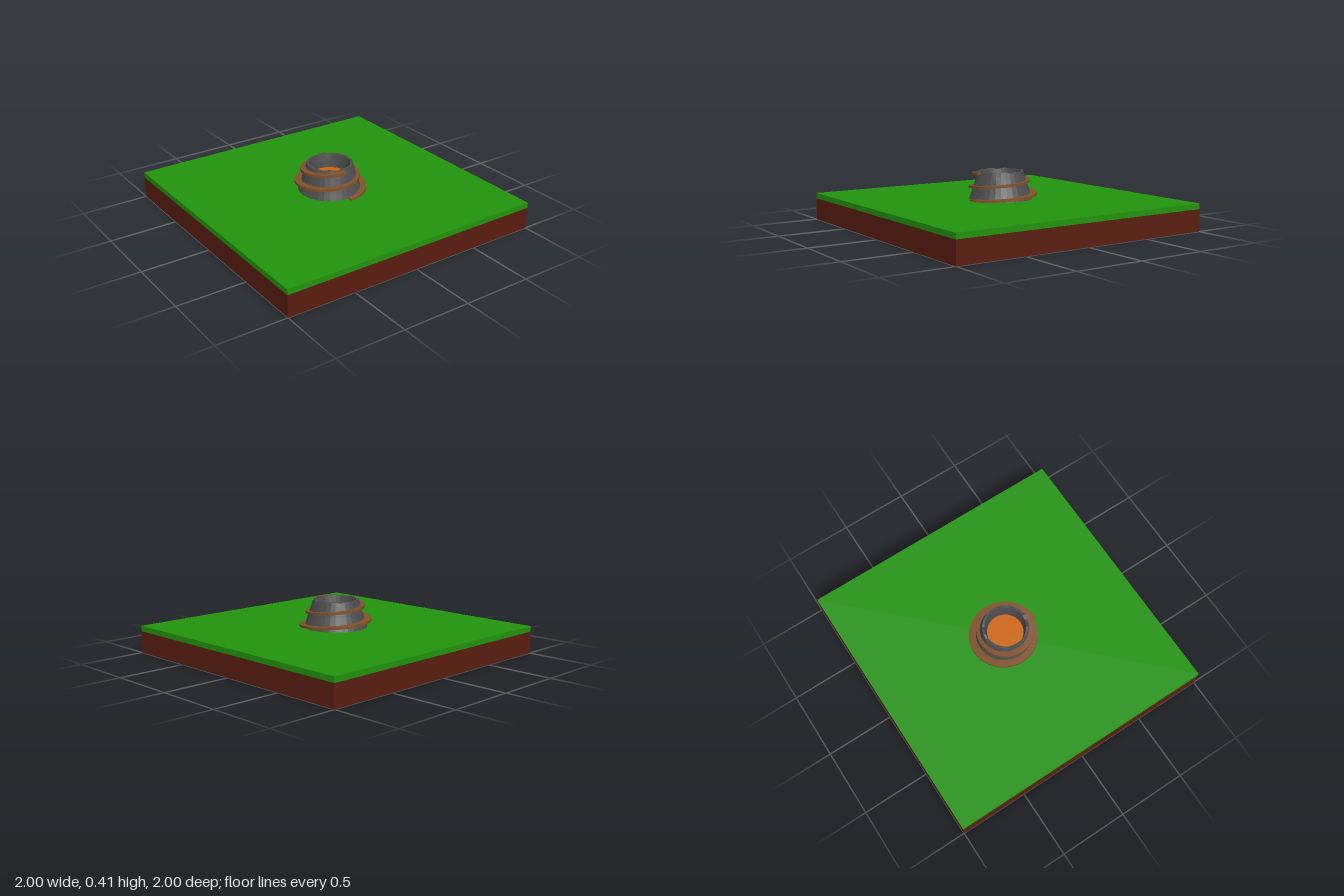
import * as THREE from 'three';

const mat = (color, extra = {}) => new THREE.MeshStandardMaterial({ color, ...extra });

function add(group, name, geometry, material, y = 0) {
  const mesh = new THREE.Mesh(geometry, material);
  mesh.name = name;
  mesh.position.y = y;
  group.add(mesh);
  return mesh;
}

// Hollow cone: outer slope, slightly uneven rim, crater wall
function coneGeometry() {
  const profile = [[0.23, 0.2], [0.212, 0.25], [0.195, 0.3], [0.18, 0.35], [0.165, 0.4],
    [0.148, 0.4], [0.138, 0.35], [0.13, 0.29]].map(([r, y]) => new THREE.Vector2(r, y));
  const geo = new THREE.LatheGeometry(profile, 32);
  const p = geo.attributes.position;
  for (let i = 0; i < p.count; i++) {
    if (p.getY(i) < 0.39) continue;
    const a = Math.atan2(p.getX(i), p.getZ(i));
    p.setY(i, 0.4 + 0.003 * Math.sin(7 * a) + 0.003 * Math.cos(11 * a));
  }
  return geo;
}

// Rectangular section swept two turns up the cone
function roadGeometry() {
  const outer = [0.268, 0.262, 0.264, 0.25, 0.226, 0.211, 0.206, 0.215, 0.206];
  const steps = 96, width = 0.055, thick = 0.018;
  const pos = [], idx = [];
  for (let i = 0; i <= steps; i++) {
    const t = i / steps, k = Math.min(Math.floor(t * 8), 7);
    const r = THREE.MathUtils.lerp(outer[k], outer[k + 1], t * 8 - k);
    const a = t * Math.PI * 4, y = 0.2 + 0.19 * t;
    const section = [[r - width, y - thick / 2], [r, y - thick / 2],
      [r, y + thick / 2], [r - width, y + thick / 2]];
    for (const [q, h] of section) pos.push(q * Math.sin(a), h, q * Math.cos(a));
    if (i === steps) break;
    for (let j = 0; j < 4; j++) {
      const b = i * 4 + j, c = i * 4 + (j + 1) % 4;
      idx.push(b, b + 4, c, c, b + 4, c + 4);
    }
  }
  const e = steps * 4;
  idx.push(0, 1, 2, 0, 2, 3, e, e + 2, e + 1, e, e + 3, e + 2);
  const geo = new THREE.BufferGeometry();
  geo.setAttribute('position', new THREE.Float32BufferAttribute(pos, 3));
  geo.setIndex(idx);
  const flat = geo.toNonIndexed();
  flat.computeVertexNormals();
  return flat;
}

export function createModel() {
  const group = new THREE.Group();
  group.name = 'volcanoOnGround';

  // Ground slab
  add(group, 'soil', new THREE.BoxGeometry(2, 0.16, 2), mat(0x5a1d11), 0.08);
  add(group, 'grass', new THREE.BoxGeometry(2, 0.04, 2), mat(0x22930d), 0.18);

  // Volcano
  add(group, 'volcanoCone', coneGeometry(),
    mat(0x4d4d4d, { flatShading: true, side: THREE.DoubleSide }));
  add(group, 'lava', new THREE.CircleGeometry(0.134, 32).rotateX(-Math.PI / 2), mat(0xcc660d), 0.3);

  // Spiral road
  add(group, 'spiralRoad', roadGeometry(), mat(0x80522b, { flatShading: true, side: THREE.DoubleSide }));

  return group;
}
